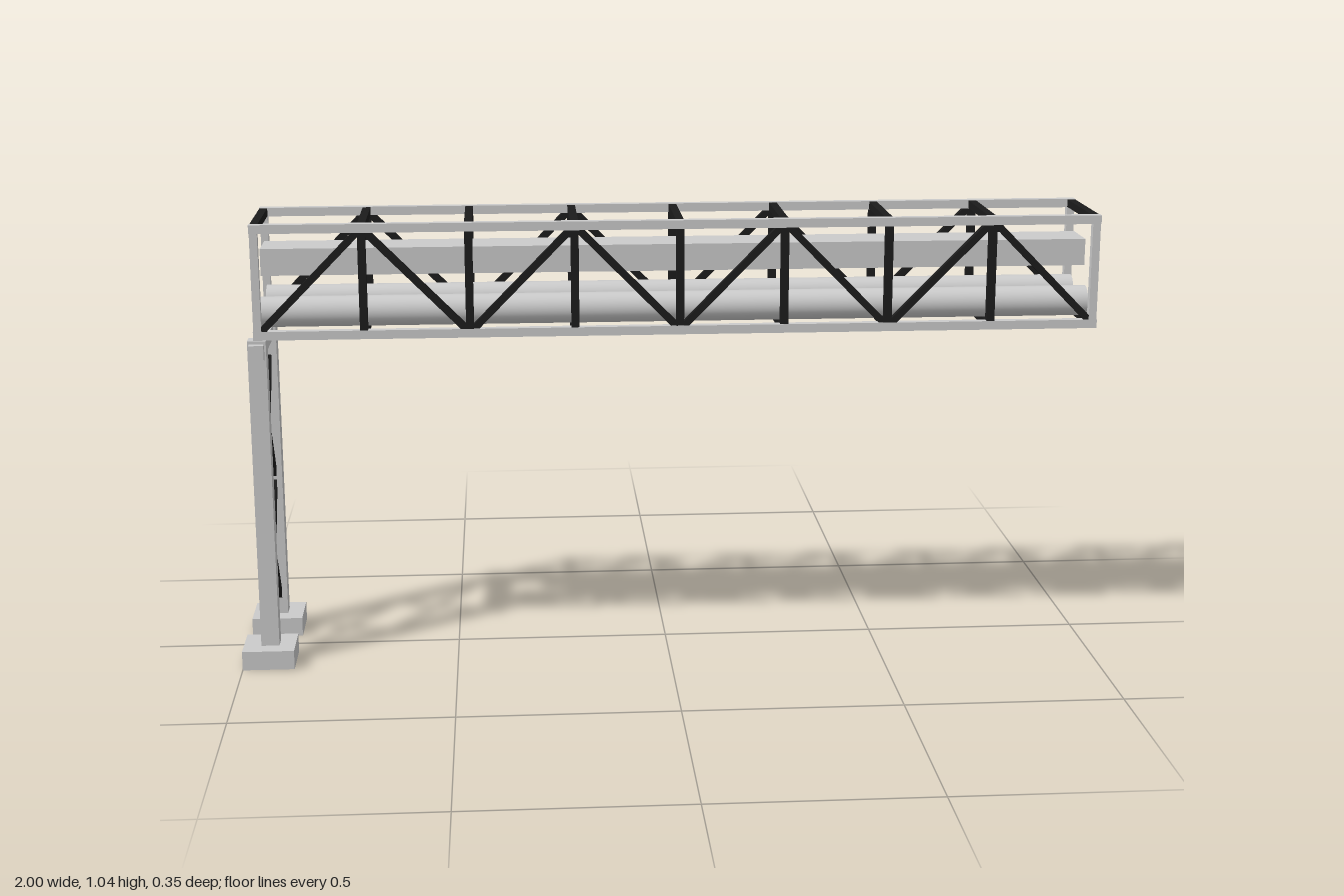
import * as THREE from 'three';

const grey = new THREE.MeshStandardMaterial({ color: 0xcccccc });
const dark = new THREE.MeshStandardMaterial({ color: 0x1c1c1c });
const pipeGrey = new THREE.MeshStandardMaterial({ color: 0xcccccc, side: THREE.DoubleSide });

export function createModel() {
  const model = new THREE.Group();

  const add = (name, geometry, material, x, y, z) => {
    const mesh = new THREE.Mesh(geometry, material);
    mesh.name = name;
    mesh.position.set(x, y, z);
    model.add(mesh);
    return mesh;
  };
  const box = (name, w, h, d, x, y, z, material = grey) =>
    add(name, new THREE.BoxGeometry(w, h, d), material, x, y, z);

  // Square bar between two points
  const bar = (name, from, to, size, material = dark) => {
    const a = new THREE.Vector3(...from), b = new THREE.Vector3(...to);
    const dir = b.clone().sub(a);
    const mid = a.clone().add(b).multiplyScalar(0.5);
    const mesh = box(name, size, dir.length(), size, mid.x, mid.y, mid.z, material);
    mesh.quaternion.setFromUnitVectors(new THREE.Vector3(0, 1, 0), dir.normalize());
  };

  const x0 = -0.935, x1 = 0.985, bays = 8, step = (x1 - x0) / bays;
  const low = 0.786, high = 1.03, side = 0.123, midX = (x0 + x1) / 2;

  for (const s of [1, -1]) {
    const z = s * side;
    // Chords of each side truss
    box('bottomChord', x1 - x0 + 0.02, 0.02, 0.02, midX, low, z);
    box('topChord', x1 - x0 + 0.02, 0.02, 0.02, midX, high, z);

    // Posts and zigzag diagonals
    for (let i = 0; i <= bays; i++) {
      const x = x0 + i * step;
      const end = i === 0 || i === bays;
      box(end ? 'endPost' : 'trussPost', 0.018, high - low, 0.018, x, (low + high) / 2, z, end ? grey : dark);
      if (i < bays) {
        const up = i % 2 === 0;
        bar('trussDiagonal', [x, up ? low : high, z], [x + step, up ? high : low, z], 0.016);
      }
    }

    // Pipe inside the bridge, open at both ends
    const pipe = add('pipe', new THREE.CylinderGeometry(0.035, 0.035, 1.91, 32, 1, true), pipeGrey, midX, 0.83, s * 0.07);
    pipe.rotation.z = Math.PI / 2;

    // Support column and its footing
    box('footing', 0.12, 0.045, 0.12, -0.94, 0.0225, s * 0.115);
    box('column', 0.042, 0.775, 0.04, -0.938, 0.3875, s * 0.115);
    box('capBeamEnd', 0.034, 0.036, 0.018, -0.938, 0.75, s * 0.144);
  }

  // Cross beams joining the two trusses
  for (let i = 0; i <= bays; i++) {
    for (const y of [low, high]) {
      box('crossBeam', 0.018, 0.018, 2 * side - 0.015, x0 + i * step, y, 0, dark);
    }
  }

  // Enclosed duct above the pipes
  box('duct', 1.91, 0.062, 0.108, midX, 0.941, 0);

  // Cap beam and X bracing of the support
  box('capBeam', 0.03, 0.03, 0.3, -0.938, 0.75, 0);
  for (const y of [0.543, 0.235]) {
    for (const s of [1, -1]) {
      bar('columnBrace', [-0.938, y - 0.16, -s * 0.112], [-0.938, y + 0.16, s * 0.112], 0.016);
    }
  }

  return model;
}
